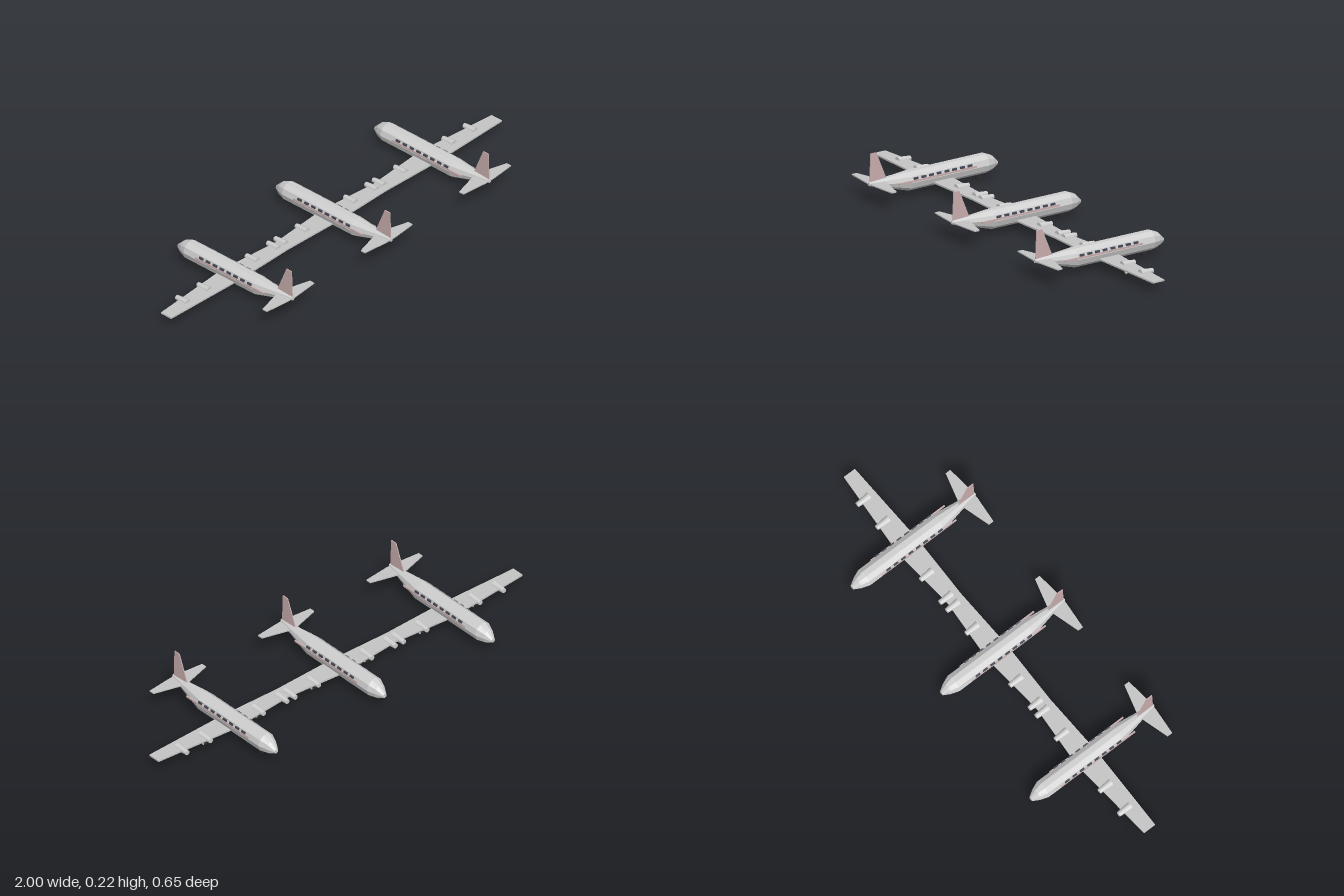
import * as THREE from 'three';

const material = (name, color, double) => {
  const m = new THREE.MeshStandardMaterial({ color });
  m.name = name;
  if (double) m.side = THREE.DoubleSide;
  return m;
};

export function createModel() {
  const silver = material('silver', 0xcfcfcf);
  const wingGrey = material('wing grey', 0xc4c4c4);
  const rose = material('dusty rose', 0xcbafaf);
  const glass = material('dark glass', 0x454b58);
  const rubber = material('black rubber', 0x2a2a2a);

  const model = new THREE.Group();
  model.name = 'joinedAircraft';

  const add = (parent, name, geometry, mat, x = 0, y = 0, z = 0) => {
    const mesh = new THREE.Mesh(geometry, mat);
    mesh.name = name;
    mesh.position.set(x, y, z);
    parent.add(mesh);
    return mesh;
  };

  // Flat plate from a planform of [x, z] points, centred on y = 0
  const plate = (points, thickness) => {
    const shape = new THREE.Shape(points.map(([x, z]) => new THREE.Vector2(x, -z)));
    const g = new THREE.ExtrudeGeometry(shape, { depth: thickness, bevelEnabled: false });
    return g.translate(0, 0, -thickness / 2).rotateX(-Math.PI / 2);
  };

  // Ten-sided hull lofted through rings of [z, centre y, half width, half height]
  const SIDES = 10;
  const loft = (rings) => {
    const pos = [];
    const index = [];
    rings.forEach(([z, cy, rx, ry]) => {
      for (let i = 0; i < SIDES; i++) {
        const a = (i / SIDES) * Math.PI * 2;
        pos.push(Math.cos(a) * rx, cy + (Math.sin(a) * ry) / Math.sin(Math.PI * 0.4), z);
      }
    });
    for (let r = 0; r < rings.length - 1; r++) {
      for (let i = 0; i < SIDES; i++) {
        const j = (i + 1) % SIDES;
        const a = r * SIDES + i, b = r * SIDES + j;
        index.push(a, b, b + SIDES, a, b + SIDES, a + SIDES);
      }
    }
    const last = (rings.length - 1) * SIDES;
    for (let i = 1; i < SIDES - 1; i++) {
      index.push(0, i + 1, i, last, last + i, last + i + 1);
    }
    const g = new THREE.BufferGeometry();
    g.setAttribute('position', new THREE.Float32BufferAttribute(pos, 3));
    g.setIndex(index);
    const flat = g.toNonIndexed();
    flat.computeVertexNormals();
    return flat;
  };

  const hull = loft([
    [-0.325, 0.058, 0.01, 0.009],
    [-0.295, 0.065, 0.028, 0.031],
    [-0.26, 0.069, 0.042, 0.041],
    [0.13, 0.069, 0.042, 0.041],
    [0.324, 0.091, 0.007, 0.008],
  ]);

  const tailplane = plate([
    [0, 0.246], [0.02, 0.249], [0.144, 0.284], [0.144, 0.308], [0.02, 0.32], [0, 0.32],
    [-0.02, 0.32], [-0.144, 0.308], [-0.144, 0.284], [-0.02, 0.249],
  ], 0.005);

  // Fin profile is drawn in (z, y), then turned into the YZ plane
  const finShape = new THREE.Shape([
    [-0.235, 0.1], [-0.32, 0.085], [-0.315, 0.223], [-0.286, 0.223],
  ].map(([x, y]) => new THREE.Vector2(x, y)));
  const fin = new THREE.ExtrudeGeometry(finShape, { depth: 0.004, bevelEnabled: false })
    .translate(0, 0, -0.002).rotateY(Math.PI / 2);

  const windowPane = new THREE.BoxGeometry(0.008, 0.009, 0.022);
  const stripe = new THREE.BoxGeometry(0.006, 0.008, 0.39);
  const nacelle = new THREE.CylinderGeometry(0.017, 0.011, 0.064, 10).rotateX(Math.PI / 2);
  const cylinderX = (r, width, n = 16) =>
    new THREE.CylinderGeometry(r, r, width, n).rotateZ(Math.PI / 2);
  const mainTyre = cylinderX(0.017, 0.012);
  const mainHub = cylinderX(0.01, 0.013);
  const noseTyre = cylinderX(0.014, 0.01);
  const strut = new THREE.BoxGeometry(0.005, 0.02, 0.005);

  const SPACING = 0.595;
  const TIP = 0.405;

  for (const cx of [-SPACING, 0, SPACING]) {
    const plane = new THREE.Group();
    plane.name = 'aircraft';
    plane.position.x = cx;
    model.add(plane);

    add(plane, 'fuselage', hull, silver);
    add(plane, 'tailplane', tailplane, wingGrey, 0, 0.0895, 0);
    add(plane, 'fin', fin, rose);

    // Nose gear
    add(plane, 'noseWheel', noseTyre, rubber, 0, 0.014, -0.233);
    add(plane, 'noseStrut', strut, rubber, 0, 0.026, -0.233);

    for (const s of [-1, 1]) {
      // Cabin side
      add(plane, 'sideStripe', stripe, rose, s * 0.0395, 0.0755, 0);
      for (let i = 0; i < 8; i++) {
        add(plane, 'cabinWindow', windowPane, glass, s * 0.0375, 0.0855, 0.111 - i * 0.039);
      }
      // Engines
      for (const x of [0.146, 0.275]) {
        add(plane, 'engineNacelle', nacelle, silver, s * x, 0.0475, -0.048);
      }
      // Main gear under the inner engines
      add(plane, 'mainWheel', mainTyre, rubber, s * 0.146, 0.017, -0.035);
      add(plane, 'wheelHub', mainHub, silver, s * 0.146, 0.017, -0.035);
      add(plane, 'mainStrut', strut, rubber, s * 0.146, 0.034, -0.035);
    }
  }

  // One continuous wing, widest at each fuselage and narrowest between them
  const mid = SPACING / 2;
  const k = mid / TIP;
  const lead = (t) => -0.08 + 0.033 * t;
  const trail = (t) => 0.022 - 0.011 * t;
  const stations = [
    [-1, 1], [-SPACING, 0], [-mid, k], [0, 0], [mid, k], [SPACING, 0], [1, 1],
  ];
  const outline = [
    ...stations.map(([x, t]) => [x, lead(t)]),
    ...stations.slice().reverse().map(([x, t]) => [x, trail(t)]),
  ];
  add(model, 'joinedWing', plate(outline, 0.007), wingGrey, 0, 0.0475, 0);

  return model;
}
